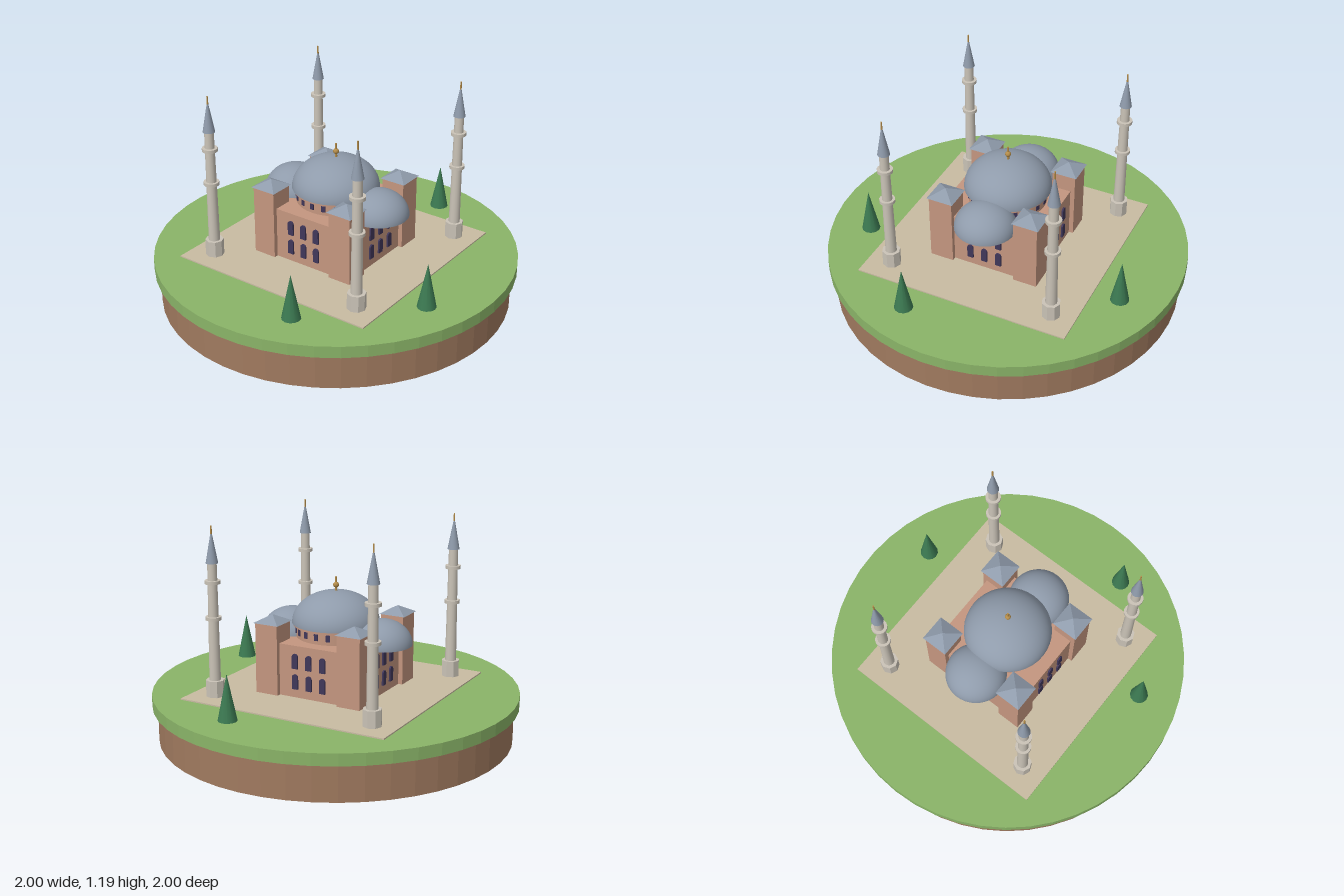
import * as THREE from 'three';

const mat = (name, color) => {
  const m = new THREE.MeshStandardMaterial({ color });
  m.name = name;
  return m;
};

// faceted version of a geometry
const flat = (geometry) => {
  const g = geometry.index ? geometry.toNonIndexed() : geometry;
  g.computeVertexNormals();
  return g;
};

export function createModel() {
  const soil = mat('soil', 0xa07a5f);
  const grass = mat('grass', 0x8ab468);
  const paving = mat('paving', 0xc8bba2);
  const brick = mat('brick', 0xc4967f);
  const lead = mat('lead', 0x8f9bab);
  const stone = mat('stone', 0xcac3b7);
  const glass = mat('window glass', 0x40375a);
  const gold = mat('gold', 0xb58d4a);
  const leaf = mat('leaf', 0x3c7a52);

  const model = new THREE.Group();
  model.name = 'domedBuildingOnIsland';

  const add = (parent, name, geometry, material, x = 0, y = 0, z = 0) => {
    const mesh = new THREE.Mesh(geometry, material);
    mesh.name = name;
    mesh.position.set(x, y, z);
    parent.add(mesh);
    return mesh;
  };
  // boxes and cylinders are placed by their bottom and top heights
  const box = (parent, name, w, d, y0, y1, material, x = 0, z = 0) =>
    add(parent, name, new THREE.BoxGeometry(w, y1 - y0, d), material, x, (y0 + y1) / 2, z);
  const drum = (parent, name, r0, r1, y0, y1, sides, material, faceted = false) => {
    const g = new THREE.CylinderGeometry(r1, r0, y1 - y0, sides);
    return add(parent, name, faceted ? flat(g) : g, material, 0, (y0 + y1) / 2, 0);
  };

  // island
  drum(model, 'islandSoil', 0.97, 0.97, 0, 0.2, 48, soil, true);
  drum(model, 'islandGrass', 1, 1, 0.198, 0.263, 48, grass, true);
  box(model, 'plaza', 1.21, 1.21, 0.255, 0.27, paving);

  // main hall
  const hall = new THREE.Group();
  hall.name = 'hall';
  model.add(hall);
  box(hall, 'hallWalls', 0.58, 0.58, 0.27, 0.555, brick);
  drum(hall, 'domeDrum', 0.215, 0.215, 0.55, 0.63, 40, brick);
  drum(hall, 'drumCornice', 0.23, 0.23, 0.617, 0.632, 40, brick);

  // flattened half-sphere domes, closed underneath
  const dome = (name, r, h, y, z) => {
    const g = new THREE.SphereGeometry(r, 40, 16, 0, Math.PI * 2, 0, Math.PI / 2);
    g.scale(1, h / r, 1);
    add(hall, name, g, lead, 0, y, z);
    const under = new THREE.CircleGeometry(r, 40);
    under.rotateX(Math.PI / 2);
    add(hall, name + 'Underside', under, lead, 0, y, z);
  };
  dome('mainDome', 0.238, 0.173, 0.63, 0);
  for (const s of [-1, 1]) dome('sideDome', 0.167, 0.135, 0.545, s * 0.276);

  // dome finial
  drum(hall, 'finialRod', 0.007, 0.005, 0.795, 0.88, 8, gold);
  add(hall, 'finialBall', new THREE.SphereGeometry(0.016, 12, 8), gold, 0, 0.835, 0);

  // corner towers with pyramid roofs
  for (const x of [-0.248, 0.248]) {
    for (const z of [-0.248, 0.248]) {
      box(hall, 'cornerTower', 0.134, 0.134, 0.27, 0.655, brick, x, z);
      const roof = new THREE.ConeGeometry(0.152 / Math.SQRT2, 0.042, 4);
      roof.rotateY(Math.PI / 4);
      add(hall, 'towerRoof', flat(roof), lead, x, 0.676, z);
    }
  }

  // arched window plate, centred on x with its sill at y = 0
  const archedPlate = (w, h) => {
    const s = new THREE.Shape();
    s.moveTo(-w / 2, 0);
    s.lineTo(w / 2, 0);
    s.lineTo(w / 2, h - w / 2);
    s.absarc(0, h - w / 2, w / 2, 0, Math.PI, false);
    s.lineTo(-w / 2, 0);
    return new THREE.ExtrudeGeometry(s, { depth: 0.0095, bevelEnabled: false, curveSegments: 8 });
  };
  const wallWindow = archedPlate(0.034, 0.082);
  for (let side = 0; side < 4; side++) {
    const wall = new THREE.Group();
    wall.name = 'wallWindows';
    wall.rotation.y = side * Math.PI / 2;
    hall.add(wall);
    for (const x of [-0.083, 0, 0.083]) {
      for (const y of [0.317, 0.43]) add(wall, 'wallWindow', wallWindow, glass, x, y, 0.29);
    }
  }

  // ring of small windows below the main dome
  const drumWindow = new THREE.BoxGeometry(0.022, 0.035, 0.009);
  for (let i = 0; i < 20; i++) {
    const a = i * Math.PI / 10;
    const w = add(hall, 'drumWindow', drumWindow, glass, Math.sin(a) * 0.215, 0.593, Math.cos(a) * 0.215);
    w.rotation.y = a;
  }

  // slender corner minarets
  for (const x of [-0.472, 0.472]) {
    for (const z of [-0.472, 0.472]) {
      const m = new THREE.Group();
      m.name = 'minaret';
      m.position.set(x, 0, z);
      model.add(m);
      drum(m, 'pedestal', 0.05, 0.05, 0.265, 0.36, 8, stone, true);
      drum(m, 'shaft', 0.031, 0.025, 0.355, 0.995, 16, stone);
      for (const y of [0.698, 0.893]) drum(m, 'balcony', 0.042, 0.042, y - 0.009, y + 0.009, 16, stone);
      drum(m, 'spire', 0.033, 0.003, 0.993, 1.155, 16, lead);
      drum(m, 'spireFinial', 0.005, 0.004, 1.135, 1.19, 8, gold);
    }
  }

  // conical trees
  for (const [x, z] of [[-0.732, 0.258], [0.748, 0.206], [-0.245, 0.746]]) {
    add(model, 'tree', new THREE.ConeGeometry(0.051, 0.248, 12), leaf, x, 0.386, z);
  }

  return model;
}
